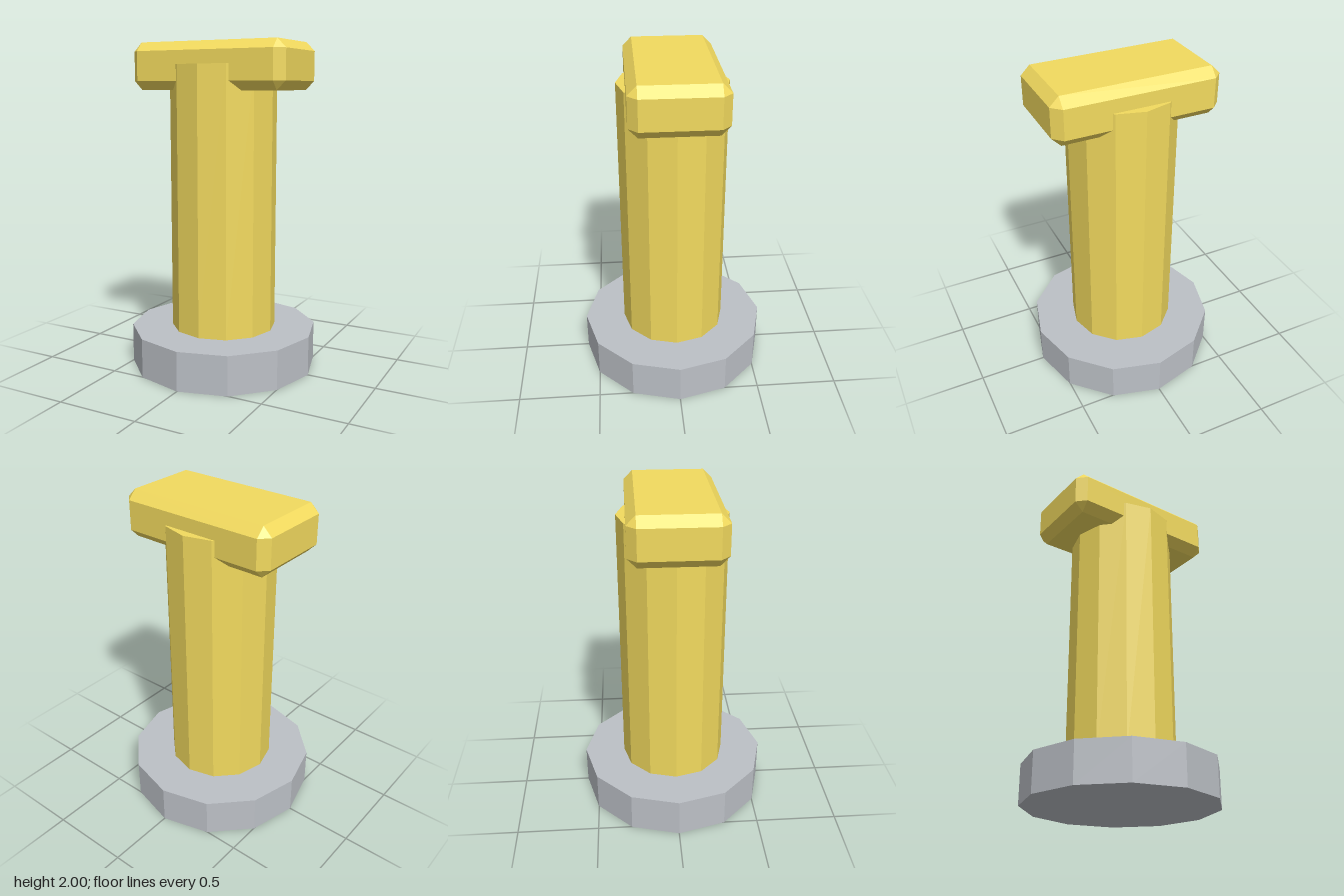
import * as THREE from 'three';
import { ConvexGeometry } from 'three/addons/geometries/ConvexGeometry.js';

// Box with every edge bevelled: hull of three boxes, each full size along one axis
function chamferedBox(w, h, d, c) {
  const points = [];
  for (const sx of [-1, 1]) for (const sy of [-1, 1]) for (const sz of [-1, 1]) {
    for (let axis = 0; axis < 3; axis++) {
      const half = [w / 2, h / 2, d / 2].map((v, i) => (i === axis ? v : v - c));
      points.push(new THREE.Vector3(sx * half[0], sy * half[1], sz * half[2]));
    }
  }
  return new ConvexGeometry(points);
}

export function createModel() {
  const model = new THREE.Group();
  const yellow = new THREE.MeshStandardMaterial({ color: 0xf2da5e, flatShading: true });
  const grey = new THREE.MeshStandardMaterial({ color: 0xbcc0c6, flatShading: true });

  function add(name, geometry, material, y) {
    const mesh = new THREE.Mesh(geometry, material);
    mesh.name = name;
    mesh.position.y = y;
    model.add(mesh);
  }

  // Twelve-sided foot and column
  add('base', new THREE.CylinderGeometry(0.58, 0.58, 0.24, 12), grey, 0.12);
  add('column', new THREE.CylinderGeometry(0.326, 0.326, 1.625, 12), yellow, 0.24 + 1.625 / 2);

  // Bevelled crossbar sitting over the column top
  add('head', chamferedBox(1.0, 0.285, 0.544, 0.054), yellow, 2 - 0.285 / 2);
  return model;
}
